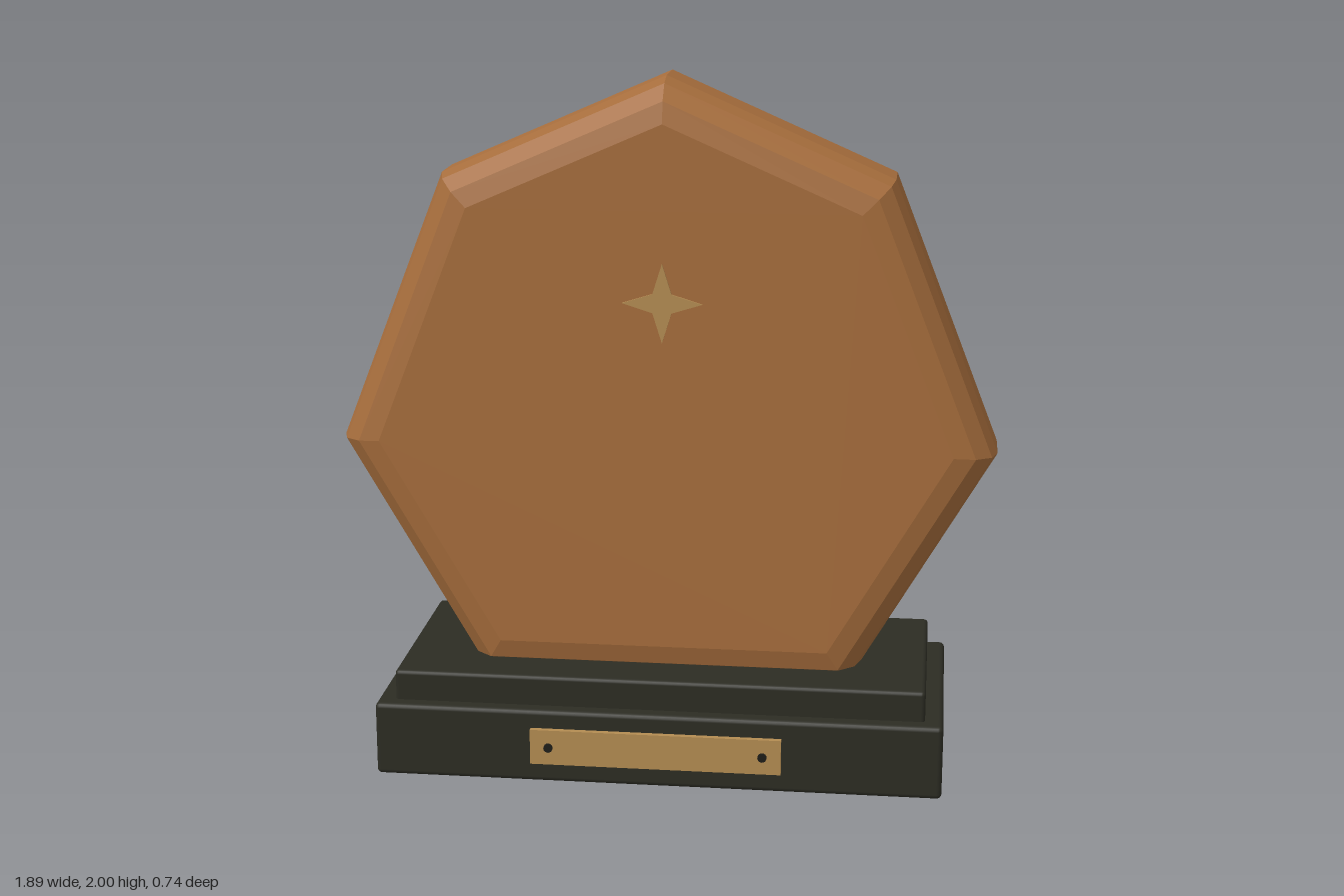
import * as THREE from 'three';
import { RoundedBoxGeometry } from 'three/addons/geometries/RoundedBoxGeometry.js';

const wood = new THREE.MeshStandardMaterial({ color: 0xa66d3c });
const darkBase = new THREE.MeshStandardMaterial({ color: 0x2c2c23 });
const brass = new THREE.MeshStandardMaterial({ color: 0xb48c52 });
const darkMetal = new THREE.MeshStandardMaterial({ color: 0x1e1d18 });

const CENTRE_Z = -0.01;

function add(group, name, geometry, material, x, y, z) {
  const mesh = new THREE.Mesh(geometry, material);
  mesh.name = name;
  mesh.position.set(x, y, z);
  group.add(mesh);
  return mesh;
}

const polygon = (points) => new THREE.Shape(points.map(([x, y]) => new THREE.Vector2(x, y)));

export function createModel() {
  const model = new THREE.Group();
  model.name = 'awardPlaque';

  // Two-step plinth with softened edges
  add(model, 'lowerBase', new RoundedBoxGeometry(1.63, 0.217, 0.712, 2, 0.014), darkBase, 0, 0.1085, CENTRE_Z);
  add(model, 'upperBase', new RoundedBoxGeometry(1.526, 0.155, 0.627, 2, 0.012), darkBase, 0, 0.2275, CENTRE_Z);

  // Seven-sided wooden body, rounded in three flat facets, sunk into the plinth
  const right = [[0.54, 0.25], [0.945, 0.945], [0.64, 1.72]];
  const left = right.map(([x, y]) => [-x, y]).reverse();
  const bevel = 0.112;
  const halfDepth = 0.183;
  const body = new THREE.ExtrudeGeometry(polygon([...right, [0, 2], ...left]), {
    depth: 2 * (halfDepth - bevel),
    bevelThickness: bevel,
    bevelSize: bevel,
    bevelOffset: -bevel,
    bevelSegments: 3,
  });
  add(model, 'woodenBody', body, wood, 0, 0, CENTRE_Z - halfDepth + bevel);

  // Thin four-pointed star inlay
  const starPoints = [];
  for (let i = 0; i < 8; i++) {
    const radius = i % 2 ? 0.038 : 0.113;
    const angle = (i * Math.PI) / 4;
    starPoints.push([radius * Math.cos(angle), radius * Math.sin(angle)]);
  }
  const star = new THREE.ExtrudeGeometry(polygon(starPoints), { depth: 0.008, bevelEnabled: false });
  add(model, 'starInlay', star, brass, 0, 1.378, 0.171);

  // Name plate and its two screws
  add(model, 'namePlate', new THREE.BoxGeometry(0.72, 0.104, 0.018), brass, 0, 0.112, 0.353);
  const screw = new THREE.CylinderGeometry(0.013, 0.013, 0.012, 16).rotateX(Math.PI / 2);
  for (const side of [-1, 1]) {
    add(model, side > 0 ? 'leftScrew' : 'rightScrew', screw, darkMetal, side * 0.307, 0.112, 0.363);
  }

  return model;
}
